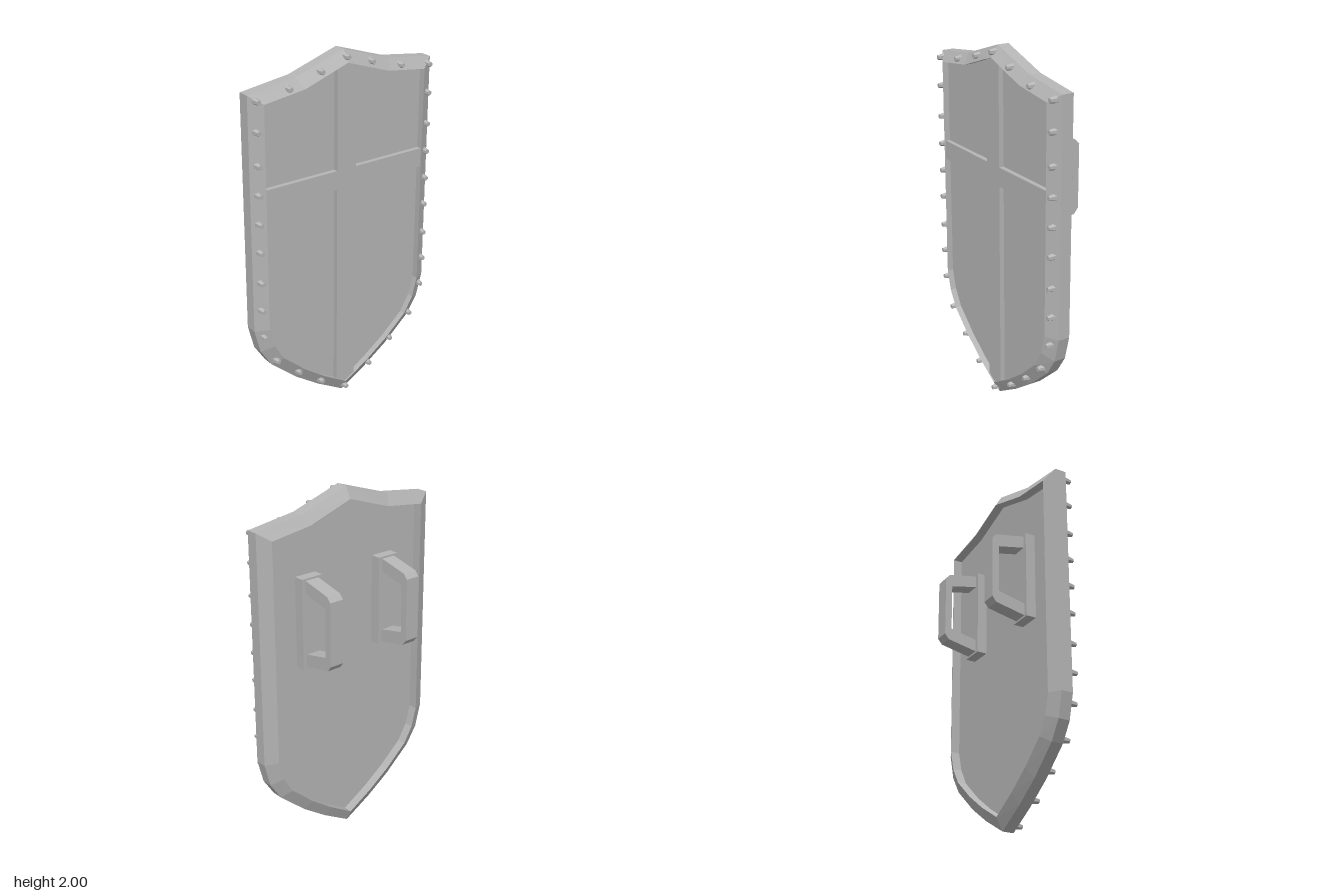
import * as THREE from 'three';

const steel = new THREE.MeshStandardMaterial({ color: 0xb4b4b4, flatShading: true });
steel.name = 'steel grey';

// Half outlines from the top point down the +x side to the bottom point
const OUTER = [[0, 2], [0.29, 1.905], [0.57, 1.866], [0.57, 0.575], [0.535, 0.44], [0.47, 0.34], [0.31, 0.2], [0.165, 0.1], [0, 0.005]];
const INNER = [[0, 1.938], [0.26, 1.85], [0.5, 1.818], [0.5, 0.58], [0.47, 0.47], [0.415, 0.377], [0.28, 0.258], [0.15, 0.165], [0, 0.075]];

// Full loop, counter-clockwise seen from the front
function mirrorLoop(half) {
  const left = half.map(([x, y]) => [-x, y]);
  return [...left, ...half.slice(1, -1).reverse()];
}

function shapeOf(points) {
  return new THREE.Shape(points.map(([x, y]) => new THREE.Vector2(x, y)));
}

function add(group, name, geometry, x = 0, y = 0, z = 0) {
  const mesh = new THREE.Mesh(geometry, steel);
  mesh.name = name;
  mesh.position.set(x, y, z);
  group.add(mesh);
  return mesh;
}

// Bevelled frame: a four-point section swept round the outline
function rimGeometry() {
  const outer = mirrorLoop(OUTER), inner = mirrorLoop(INNER);
  const rings = outer.map((o, i) => [
    [...inner[i], 0.165], [...o, 0.124], [...o, 0.059], [...inner[i], 0.023],
  ]);
  const pos = [];
  rings.forEach((ring, i) => {
    const next = rings[(i + 1) % rings.length];
    for (let k = 0; k < 4; k++) {
      const m = (k + 1) % 4;
      pos.push(...ring[k], ...ring[m], ...next[m], ...ring[k], ...next[m], ...next[k]);
    }
  });
  const g = new THREE.BufferGeometry();
  g.setAttribute('position', new THREE.Float32BufferAttribute(pos, 3));
  g.computeVertexNormals();
  return g;
}

// Grip profile drawn as (distance behind the shield, height)
function gripGeometry() {
  const shape = shapeOf([
    [-0.03, 1.572], [-0.03, 1.502], [0.137, 1.463], [0.137, 1.195], [-0.03, 1.158], [-0.03, 1.088],
    [0.153, 1.125], [0.177, 1.155], [0.177, 1.505], [0.153, 1.532],
  ]);
  const g = new THREE.ExtrudeGeometry(shape, { depth: 0.083, bevelEnabled: false });
  g.translate(0, 0, -0.0415);
  g.rotateY(Math.PI / 2);
  return g;
}

export function createModel() {
  const model = new THREE.Group();
  model.name = 'shield';

  add(model, 'rim', rimGeometry());

  // Recessed panel
  const panel = new THREE.ExtrudeGeometry(shapeOf(mirrorLoop(INNER)), { depth: 0.055, bevelEnabled: false });
  add(model, 'panel', panel, 0, 0, 0.075);

  // Raised cross in one piece; its foot follows the pointed rim
  const cross = shapeOf([
    [-0.06, 1.918], [-0.06, 1.37], [-0.5, 1.37], [-0.5, 1.265], [-0.06, 1.265], [-0.06, 0.111], [0, 0.075],
    [0.06, 0.111], [0.06, 1.265], [0.5, 1.265], [0.5, 1.37], [0.06, 1.37], [0.06, 1.918], [0, 1.938],
  ].reverse());
  add(model, 'cross', new THREE.ExtrudeGeometry(cross, { depth: 0.037, bevelEnabled: false }), 0, 0, 0.12);

  // Rivets, mirrored except on the centre line
  const rivet = new THREE.CylinderGeometry(0.013, 0.02, 0.04, 6);
  rivet.rotateX(Math.PI / 2);
  const spots = [
    [0, 1.966], [0.157, 1.917], [0.348, 1.864],
    ...[1.837, 1.68, 1.505, 1.347, 1.19, 1.033, 0.86, 0.7].map((y) => [0.535, y]),
    [0.525, 0.537], [0.451, 0.37], [0.313, 0.25], [0.164, 0.138], [0, 0.045],
  ];
  for (const [x, y] of spots) {
    for (const side of x ? [1, -1] : [1]) add(model, 'rivet', rivet, side * x, y, 0.154);
  }

  // Two handles with backing plates
  for (const side of [1, -1]) {
    const handle = new THREE.Group();
    handle.name = side > 0 ? 'leftHandle' : 'rightHandle';
    handle.position.x = side * 0.26;
    add(handle, 'plate', new THREE.BoxGeometry(0.13, 0.5, 0.06), 0, 1.33, 0.048);
    add(handle, 'grip', gripGeometry());
    model.add(handle);
  }
  return model;
}
